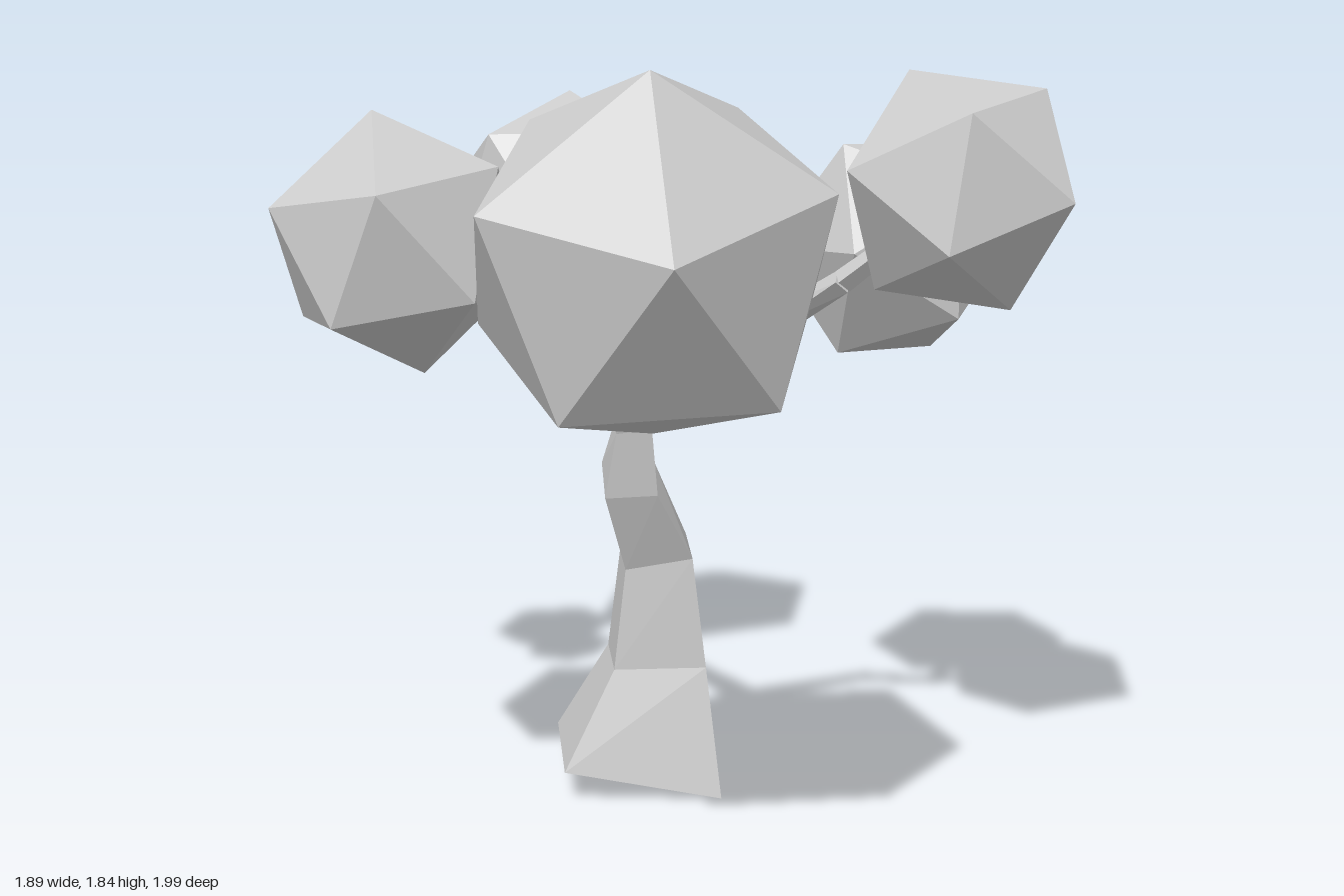
import * as THREE from 'three';

const V = (a) => new THREE.Vector3(...a);
const material = new THREE.MeshStandardMaterial({ color: 0xcccccc, flatShading: true });

// Joins four-cornered rings (counterclockwise seen from the far end) into a closed, faceted solid
function loft(name, rings) {
  const pos = [];
  const quad = (a, b, c, d) => [a, b, c, a, c, d].forEach((p) => pos.push(p.x, p.y, p.z));
  for (let r = 0; r < rings.length - 1; r++) {
    const a = rings[r], b = rings[r + 1];
    for (let i = 0; i < 4; i++) {
      const j = (i + 1) % 4;
      quad(a[i], a[j], b[j], b[i]);
    }
  }
  quad(...[...rings[0]].reverse());
  quad(...rings[rings.length - 1]);
  const g = new THREE.BufferGeometry();
  g.setAttribute('position', new THREE.Float32BufferAttribute(pos, 3));
  g.computeVertexNormals();
  const mesh = new THREE.Mesh(g, material);
  mesh.name = name;
  return mesh;
}

// Diamond ring of the trunk: centre, half diagonal, tilt towards +x and +z
function trunkRing([c, h, tx, tz]) {
  return [[1, 0], [0, -1], [-1, 0], [0, 1]].map(([x, z]) =>
    new THREE.Vector3(c[0] + x * h, c[1] + x * tx + z * tz, c[2] + z * h));
}

// Four-sided branch along a path of [x, y, z, radius]
function branch(name, path) {
  const pts = path.map((p) => V(p.slice(0, 3)));
  const rings = pts.map((p, i) => {
    const t = pts[Math.min(i + 1, pts.length - 1)].clone().sub(pts[Math.max(i - 1, 0)]).normalize();
    const u = new THREE.Vector3(0, 1, 0).cross(t).normalize();
    const w = t.clone().cross(u);
    return [[1, 0], [0, 1], [-1, 0], [0, -1]].map(([a, b]) =>
      p.clone().addScaledVector(u, a * path[i][3]).addScaledVector(w, b * path[i][3]));
  });
  return loft(name, rings);
}

// Icosahedron turned so that two neighbouring corners point along v1 and v2
function foliage(name, center, radius, v1, v2) {
  const a = V(v1).normalize(), b = V(v2).normalize();
  const y = a.clone().add(b).normalize();
  const x = b.clone().sub(a).normalize();
  const z = x.clone().cross(y);
  const mesh = new THREE.Mesh(new THREE.IcosahedronGeometry(radius, 0), material);
  mesh.quaternion.setFromRotationMatrix(new THREE.Matrix4().makeBasis(x, y, z));
  mesh.position.set(...center);
  mesh.name = name;
  return mesh;
}

export function createModel() {
  const tree = new THREE.Group();
  tree.name = 'tree';

  // Bent trunk with a flared, slanted foot
  tree.add(loft('trunk', [
    [[0.10, 0.04, -0.10], 0.28, -0.04, -0.04],
    [[0.137, 0.32, -0.067], 0.165, 0, 0],
    [[0.128, 0.60, -0.06], 0.12, 0.025, 0],
    [[0.012, 0.81, -0.05], 0.092, 0.035, -0.03],
    [[-0.01, 0.95, -0.02], 0.062, 0.01, 0],
    [[-0.02, 1.06, 0.0], 0.075, -0.015, 0],
  ].map(trunkRing)));

  // Branches: three limbs from the fork, each dividing towards its foliage
  const fork = [-0.02, 1.05, 0.01, 0.055];
  const rightNode = [-0.29, 1.27, 0.03, 0.035];
  const backNode = [0.07, 1.19, -0.46, 0.035];
  const twigNode = [-0.12, 1.38, -0.59, 0.024];
  const frontNode = [0.25, 1.32, 0.42, 0.03];
  const branches = {
    rightLimb: [fork, rightNode],
    rightFrontTwig: [rightNode, [-0.44, 1.36, 0.32, 0.025]],
    rightBackTwig: [rightNode, [-0.52, 1.39, -0.11, 0.025]],
    backLimb: [fork, backNode],
    backLeftTwig: [backNode, [0.28, 1.30, -0.55, 0.025]],
    backRightTwig: [backNode, twigNode],
    smallTwig: [twigNode, [-0.28, 1.46, -0.60, 0.016]],
    rearTwig: [twigNode, [-0.12, 1.40, -0.75, 0.018]],
    frontLimb: [fork, [0.25, 1.19, 0.20, 0.036], frontNode],
    frontTwig: [frontNode, [0.29, 1.44, 0.57, 0.022]],
    frontLeftTwig: [frontNode, [0.52, 1.35, 0.33, 0.022]],
  };
  for (const [name, path] of Object.entries(branches)) tree.add(branch(name, path));

  // Faceted foliage clumps
  tree.add(
    foliage('foliageRightFront', [-0.55, 1.44, 0.495], 0.43, [-0.13, 0.40, 0.105], [0.13, 0.15, 0.378]),
    foliage('foliageRightBack', [-0.63, 1.44, -0.185], 0.303, [-0.04, 0.298, -0.035], [0.04, 0.11, -0.28]),
    foliage('foliageBackLeft', [0.432, 1.395, -0.63], 0.37, [0.094, 0.348, -0.08], [-0.075, 0.116, -0.343]),
    foliage('foliageFrontLeft', [0.656, 1.36, 0.275], 0.31, [0.175, 0.255, 0.03], [0.283, -0.006, -0.093]),
    foliage('foliageFront', [0.33, 1.547, 0.69], 0.303, [0, 0.015, -0.3], [-0.04, 0.275, -0.12]),
    foliage('foliageBack', [-0.12, 1.41, -0.82], 0.188, [0.005, 0.06, -0.18], [0.1, 0.165, -0.03]),
    foliage('foliageSmall', [-0.333, 1.50, -0.603], 0.133, [0.034, 0.125, -0.005], [-0.055, 0.07, -0.11]),
  );
  return tree;
}
